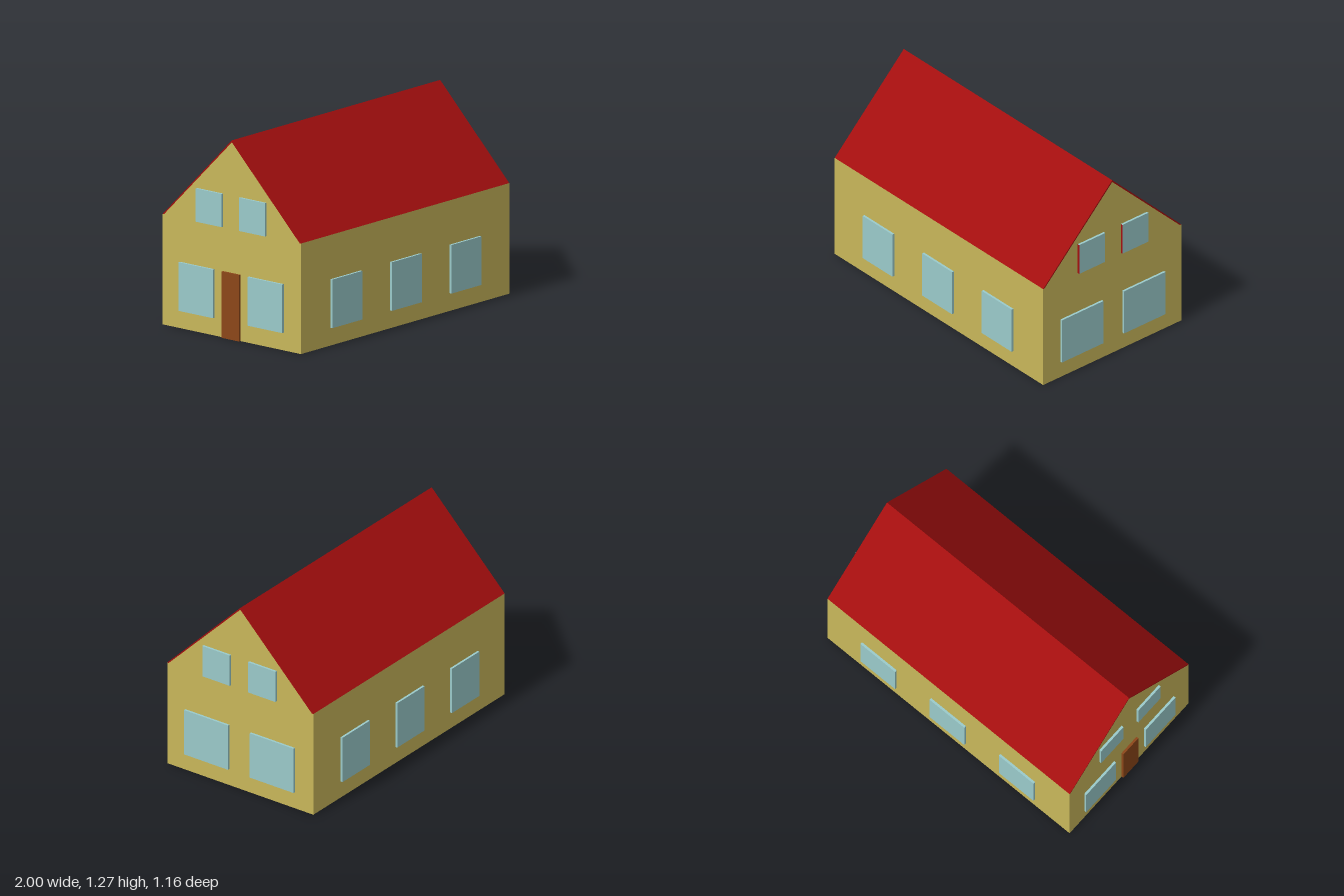
import * as THREE from 'three';

const HALF_LENGTH = 0.985, HALF_DEPTH = 0.563, EAVES = 0.705, PEAK = 1.268;
const RELIEF = 0.015; // how far windows and door stand out

function material(name, color) {
  const m = new THREE.MeshStandardMaterial({ color });
  m.name = name;
  return m;
}

export function createModel() {
  const wall = material('yellow wall', 0xc8b75a);
  const red = material('red roof', 0xa30e0e);
  const glass = material('pale blue glass', 0x9acaca);
  const wood = material('brown wood', 0x8c4719);

  const house = new THREE.Group();
  house.name = 'house';

  const add = (name, geometry, mat) => {
    const mesh = new THREE.Mesh(geometry, mat);
    mesh.name = name;
    house.add(mesh);
    return mesh;
  };

  // Extrude a gable-end outline of [z, y] points along the length of the house
  const extrudeAlongX = (points) => {
    const shape = new THREE.Shape(points.map(([z, y]) => new THREE.Vector2(z, y)));
    return new THREE.ExtrudeGeometry(shape, { depth: 2 * HALF_LENGTH, bevelEnabled: false })
      .translate(0, 0, -HALF_LENGTH)
      .rotateY(Math.PI / 2);
  };

  // Walls with gable ends
  const inner = HALF_DEPTH - 0.011, innerPeak = PEAK - 0.013;
  add('walls', extrudeAlongX([
    [-HALF_DEPTH, 0], [HALF_DEPTH, 0], [HALF_DEPTH, EAVES], [inner, EAVES],
    [0, innerPeak], [-inner, EAVES], [-HALF_DEPTH, EAVES],
  ]), wall);

  // Thin pitched roof, flush with the walls
  add('roof', extrudeAlongX([
    [HALF_DEPTH, EAVES], [0, PEAK], [-HALF_DEPTH, EAVES],
    [-inner, EAVES], [0, innerPeak], [inner, EAVES],
  ]), red);

  // Panel standing on a long wall (side = +1 front, -1 back)
  const longWallPanel = (name, side, x, y0, y1, width) =>
    add(name, new THREE.BoxGeometry(width, y1 - y0, RELIEF), glass)
      .position.set(x, (y0 + y1) / 2, side * (HALF_DEPTH + RELIEF / 2));

  // Panel standing on a gable wall (side = +1 left, -1 right)
  const gablePanel = (name, side, z, y0, y1, width, mat) =>
    add(name, new THREE.BoxGeometry(RELIEF, y1 - y0, width), mat)
      .position.set(side * (HALF_LENGTH + RELIEF / 2), (y0 + y1) / 2, z);

  // Three windows on each long wall
  for (const x of [-0.563, 0, 0.563]) {
    longWallPanel('frontWindow', 1, x, 0.113, 0.423, 0.282);
    longWallPanel('backWindow', -1, x, 0.113, 0.423, 0.282);
  }

  // Upper left windows have a red edge towards the front
  const redEdged = [glass, glass, glass, glass, red, glass];

  // Gable windows, mirrored about the middle
  for (const s of [-1, 1]) {
    gablePanel('upperLeftWindow', 1, s * 0.176, 0.705, 0.917, 0.211, redEdged);
    gablePanel('upperRightWindow', -1, s * 0.176, 0.705, 0.917, 0.211, glass);
    gablePanel('lowerLeftWindow', 1, s * 0.253, 0.113, 0.423, 0.338, glass);
    gablePanel('lowerRightWindow', -1, s * 0.282, 0.113, 0.423, 0.282, glass);
  }

  // Door between the lower windows of the right gable
  gablePanel('door', -1, 0, 0, 0.423, 0.141, wood);

  return house;
}
